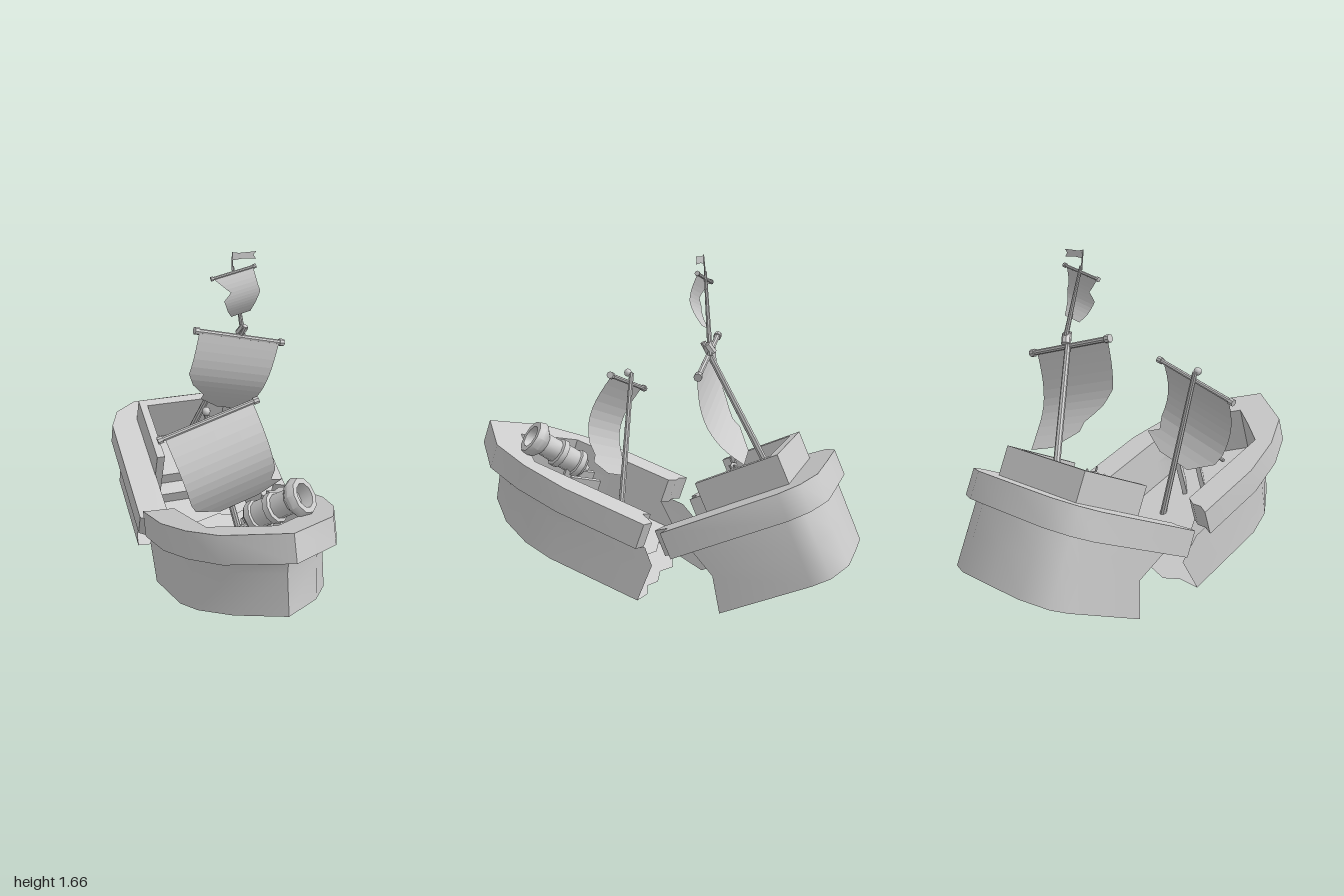
import * as THREE from 'three';
import { toCreasedNormals } from 'three/addons/utils/BufferGeometryUtils.js';

const V = (x, y, z) => new THREE.Vector3(x, y, z);
const grey = new THREE.MeshStandardMaterial({ color: 0xcccccc, side: THREE.DoubleSide });
const faceted = new THREE.MeshStandardMaterial({ color: 0xcccccc, side: THREE.DoubleSide, flatShading: true });

function add(parent, name, geometry, material = grey) {
  const mesh = new THREE.Mesh(geometry, material);
  mesh.name = name;
  parent.add(mesh);
  return mesh;
}

function box(parent, name, [x0, x1], [y0, y1], [z0, z1]) {
  add(parent, name, new THREE.BoxGeometry(x1 - x0, y1 - y0, z1 - z0), faceted)
    .position.set((x0 + x1) / 2, (y0 + y1) / 2, (z0 + z1) / 2);
}

// Round bar between two points
function spar(parent, name, a, b, r0, r1 = r0, sides = 8) {
  const d = b.clone().sub(a);
  const mesh = add(parent, name, new THREE.CylinderGeometry(r1, r0, d.length(), sides), faceted);
  mesh.position.copy(a).addScaledVector(d, 0.5);
  mesh.quaternion.setFromUnitVectors(V(0, 1, 0), d.normalize());
}

// Yard with a collar at each end
function yard(parent, name, a, b, r) {
  spar(parent, name, a, b, r);
  for (const [s, e] of [[0, 0.05], [0.95, 1]])
    spar(parent, name + 'Collar', a.clone().lerp(b, s), a.clone().lerp(b, e), r * 1.5);
}

// Half outline [x, z] mirrored into a full one; the two broken ends are set apart
function outline(half, endR, endL) {
  const right = half.map(([x, z], i) => [x, i ? z : endR]);
  const left = half.map(([x, z], i) => [-x, i ? z : endL]).reverse();
  return right.concat(left[0][0] === 0 ? left.slice(1) : left);
}

const toShape = pts => new THREE.Shape(pts.map(p => new THREE.Vector2(p[0], p[1])));

function floor(parent, name, pts, y) {
  add(parent, name, new THREE.ShapeGeometry(toShape(pts)).rotateX(Math.PI / 2).translate(0, y, 0));
}

// Skin through rows of points, all rows of equal length
function skin(rows) {
  const n = rows[0].length, index = [];
  for (let j = 0; j < rows.length - 1; j++)
    for (let i = 0; i < n - 1; i++) {
      const a = j * n + i, b = a + 1, c = a + n, d = c + 1;
      index.push(a, b, c, b, d, c);
    }
  const g = new THREE.BufferGeometry().setFromPoints(rows.flat());
  g.setIndex(index);
  g.computeVertexNormals();
  return g;
}

const wall = levels => toCreasedNormals(
  skin(levels.map(([y, pts]) => pts.map(p => V(p[0], y, p[1])))), 1);

// One broken half: hull shell, bottom, well, deck and heavy rim
function hullHalf(name, s) {
  const g = new THREE.Group();
  g.name = name;
  const mid = s.hullLow.map((p, i) => [(p[0] + s.hullTop[i][0]) / 2, (p[1] + s.hullTop[i][1]) / 2]);
  add(g, 'hull', wall([
    [0, outline(s.hullLow, 0, 0.01)],
    [s.midY, outline(mid, s.midEnd, s.midEnd - 0.03)],
    [s.rimY[0], outline(s.hullTop, s.topEnd, s.topEnd + 0.04)]]));
  const jag = [[-0.24, 0.02], [-0.15, -0.015], [-0.04, 0.02], [0.08, -0.01], [0.17, 0.015], [0.25, -0.015]];
  const cut = z => jag.map(([x, dz]) => [x, z + dz]);
  floor(g, 'hullBottom', outline(s.hullLow, 0, 0.01).concat(cut(0)), 0);
  floor(g, 'deck', outline(s.inner, s.deckEnd, s.deckEnd).concat(cut(s.deckEnd)), s.deckY);
  add(g, 'wellWall', wall([
    [s.deckY, outline(s.inner, s.deckEnd, s.deckEnd)],
    [s.rimY[0], outline(s.inner, s.innerR, s.innerL)]]));
  const ring = outline(s.rim, s.rimR, s.rimL)
    .concat([[-0.36, s.rimL + 0.03], [-0.31, s.innerL - 0.03]])
    .concat(outline(s.inner, s.innerR, s.innerL).reverse())
    .concat([[0.3, s.innerR + 0.03], [0.35, s.rimR - 0.02]]);
  const rim = new THREE.ExtrudeGeometry(toShape(ring),
    { depth: s.rimY[1] - s.rimY[0], bevelEnabled: false });
  add(g, 'rim', toCreasedNormals(rim.rotateX(Math.PI / 2).translate(0, s.rimY[1], 0), 0.75));
  return g;
}

// Sail from rows [t down, left u, right u], bellied forward
function sail(parent, name, o, across, down, w, h, belly, rows) {
  const x = across.clone().normalize(), d = down.clone().normalize();
  const n = d.clone().cross(x).normalize(), grid = [];
  rows.slice(1).forEach((r1, k) => {
    const r0 = rows[k], steps = Math.max(1, Math.round((r1[0] - r0[0]) * 12));
    for (let i = k ? 1 : 0; i <= steps; i++) {
      const [t, l, r] = r0.map((q, m) => q + (r1[m] - q) * i / steps);
      grid.push([0, 0.25, 0.5, 0.75, 1].map(f => o.clone()
        .addScaledVector(x, (l + (r - l) * f) * w).addScaledVector(d, t * h)
        .addScaledVector(n, belly * Math.sin(Math.PI * t * 0.97))));
    }
  });
  add(parent, name, skin(grid), faceted);
}

export function createModel() {
  const model = new THREE.Group();
  model.name = 'brokenShip';

  // Bow half, nose raised
  const bow = hullHalf('bowHalf', {
    hullLow: [[0.357, 0], [0.357, 0.49], [0.315, 0.65], [0.2, 0.83], [0, 1.0]],
    hullTop: [[0.357, 0], [0.357, 0.51], [0.32, 0.7], [0.22, 0.89], [0, 1.07]],
    rim: [[0.412, 0], [0.412, 0.51], [0.36, 0.76], [0.265, 0.97], [0, 1.165]],
    inner: [[0.263, 0], [0.263, 0.5], [0.262, 0.75], [0.13, 0.865], [0, 0.97]],
    rimY: [0.27, 0.4], midY: 0.2, midEnd: -0.01, topEnd: 0.05,
    deckY: 0.15, deckEnd: 0.06, rimR: 0.08, rimL: 0.13, innerR: 0.1, innerL: 0.19,
  });
  bow.position.set(-0.027, 0.02, -0.01);
  bow.rotation.x = -0.332;

  // Stern half, tail raised
  const stern = hullHalf('sternHalf', {
    hullLow: [[0.357, 0], [0.357, -0.47], [0.33, -0.56], [0.2, -0.625], [0, -0.628]],
    hullTop: [[0.357, 0], [0.357, -0.47], [0.33, -0.56], [0.2, -0.628], [0, -0.63]],
    rim: [[0.412, 0], [0.412, -0.5], [0.365, -0.6], [0.25, -0.663], [0, -0.665]],
    inner: [[0.263, 0], [0.263, -0.25], [0.263, -0.5], [0.25, -0.515], [0, -0.515]],
    rimY: [0.328, 0.46], midY: 0.18, midEnd: -0.04, topEnd: 0.01,
    deckY: 0.2, deckEnd: 0.04, rimR: 0.1, rimL: 0.16, innerR: 0.14, innerL: 0.17,
  });
  stern.position.set(-0.027, 0.01, -0.42);
  stern.rotation.x = 0.414;
  model.add(bow, stern);

  // Cabin walls and steps at the stern
  for (const s of [-1, 1])
    box(stern, 'cabinSideWall', s < 0 ? [-0.266, -0.225] : [0.225, 0.266], [0.2, 0.605], [-0.525, -0.1]);
  box(stern, 'cabinBackWall', [-0.266, 0.266], [0.2, 0.605], [-0.525, -0.48]);
  box(stern, 'lowerStep', [-0.225, 0.225], [0.2, 0.27], [-0.48, -0.11]);
  box(stern, 'upperStep', [-0.225, 0.225], [0.27, 0.34], [-0.48, -0.19]);

  // Steering wheel
  const wheel = new THREE.Group();
  wheel.name = 'steeringWheel';
  wheel.position.set(-0.03, 0.54, -0.21);
  add(wheel, 'wheelRing', new THREE.TorusGeometry(0.055, 0.008, 6, 16));
  add(wheel, 'wheelHub', new THREE.CylinderGeometry(0.014, 0.014, 0.04, 8).rotateX(Math.PI / 2));
  for (let i = 0; i < 8; i++) {
    const a = i * Math.PI / 4;
    spar(wheel, 'wheelSpoke', V(0, 0, 0), V(Math.cos(a) * 0.085, Math.sin(a) * 0.085, 0), 0.005, 0.005, 5);
  }
  stern.add(wheel);
  box(stern, 'wheelStand', [-0.05, -0.01], [0.34, 0.55], [-0.26, -0.23]);

  // Foremast with torn sail
  spar(model, 'foreMast', V(0.03, 0.24, 0.2), V(-0.175, 1.05, 0.205), 0.017, 0.013);
  add(model, 'foreMastCap', new THREE.SphereGeometry(0.021, 8, 6)).position.set(-0.175, 1.05, 0.225);
  yard(model, 'foreYard', V(-0.41, 0.93, 0.22), V(0.085, 1.075, 0.22), 0.012);
  sail(model, 'foreSail', V(-0.16, 1.0, 0.225), V(0.485, 0.145, 0), V(0.145, -0.485, 0), 0.45, 0.48, 0.1,
    [[0, -0.5, 0.5], [0.7, -0.5, 0.48], [0.82, -0.47, 0.42], [0.9, -0.35, 0.55], [1, -0.2, 0.25]]);

  // Main mast, bent topmast and torn sails
  spar(model, 'mainMast', V(-0.04, 0.5, -0.635), V(0.2, 1.27, -0.29), 0.018, 0.014);
  spar(model, 'topMast', V(0.2, 1.21, -0.325), V(0.125, 1.59, -0.275), 0.013, 0.007);
  spar(model, 'mastJoint', V(0.18, 1.22, -0.33), V(0.2, 1.262, -0.305), 0.023);
  yard(model, 'mainYard', V(-0.075, 1.275, -0.285), V(0.43, 1.14, -0.335), 0.013);
  sail(model, 'mainSail', V(0.175, 1.205, -0.3), V(0.505, -0.135, -0.05), V(-0.24, -0.77, -0.345), 0.48, 0.49, 0.075,
    [[0, -0.49, 0.49], [0.45, -0.47, 0.49], [0.6, -0.36, 0.49], [0.75, -0.16, 0.49], [0.85, -0.14, 0.48], [1, 0.15, 0.45]]);
  yard(model, 'topYard', V(0.01, 1.535, -0.272), V(0.245, 1.585, -0.272), 0.008);
  sail(model, 'topSail', V(0.128, 1.555, -0.268), V(0.235, 0.05, 0), V(0.06, -0.36, -0.045), 0.21, 0.225, 0.04,
    [[0, -0.5, 0.5], [0.35, -0.18, 0.52], [0.5, -0.38, 0.55], [0.8, -0.3, 0.4], [1, -0.2, 0.3]]);

  // Flag
  spar(model, 'flagPole', V(0.122, 1.57, -0.275), V(0.12, 1.665, -0.264), 0.004, 0.003, 6);
  add(model, 'flag', new THREE.ShapeGeometry(toShape(
    [[0.12, 1.662], [0.16, 1.658], [0.245, 1.66], [0.23, 1.643], [0.245, 1.623], [0.17, 1.628], [0.12, 1.624]]
  )).translate(0, 0, -0.265));

  // Cannon lying on the foredeck
  const barrel = [[0, -0.02], [0.022, -0.012], [0.024, 0.01], [0.055, 0.02], [0.075, 0.04], [0.075, 0.07], [0.064, 0.075],
    [0.064, 0.15], [0.076, 0.155], [0.076, 0.185], [0.06, 0.19], [0.058, 0.27], [0.09, 0.3], [0.096, 0.32],
    [0.085, 0.35], [0.058, 0.35], [0.05, 0.29], [0, 0.29]].map(p => new THREE.Vector2(...p));
  const cannon = add(model, 'cannon', toCreasedNormals(new THREE.LatheGeometry(barrel, 10), 0.65));
  cannon.position.set(-0.035, 0.555, 0.415);
  cannon.quaternion.setFromUnitVectors(V(0, 1, 0), V(0.2, 0.2, 0.21).normalize());
  spar(model, 'cannonPin', V(-0.16, 0.52, 0.47), V(0.0, 0.58, 0.47), 0.01);
  const carriage = new THREE.Group();
  carriage.name = 'cannonCarriage';
  carriage.position.set(0.03, 0.39, 0.43);
  carriage.rotation.set(-0.332, 0.75, 0, 'XYZ');
  for (const s of [-1, 1])
    box(carriage, 'carriageCheek', [s * 0.05 - 0.012, s * 0.05 + 0.012], [-0.06, 0.16], [-0.06, 0.1]);
  model.add(carriage);
  return model;
}
